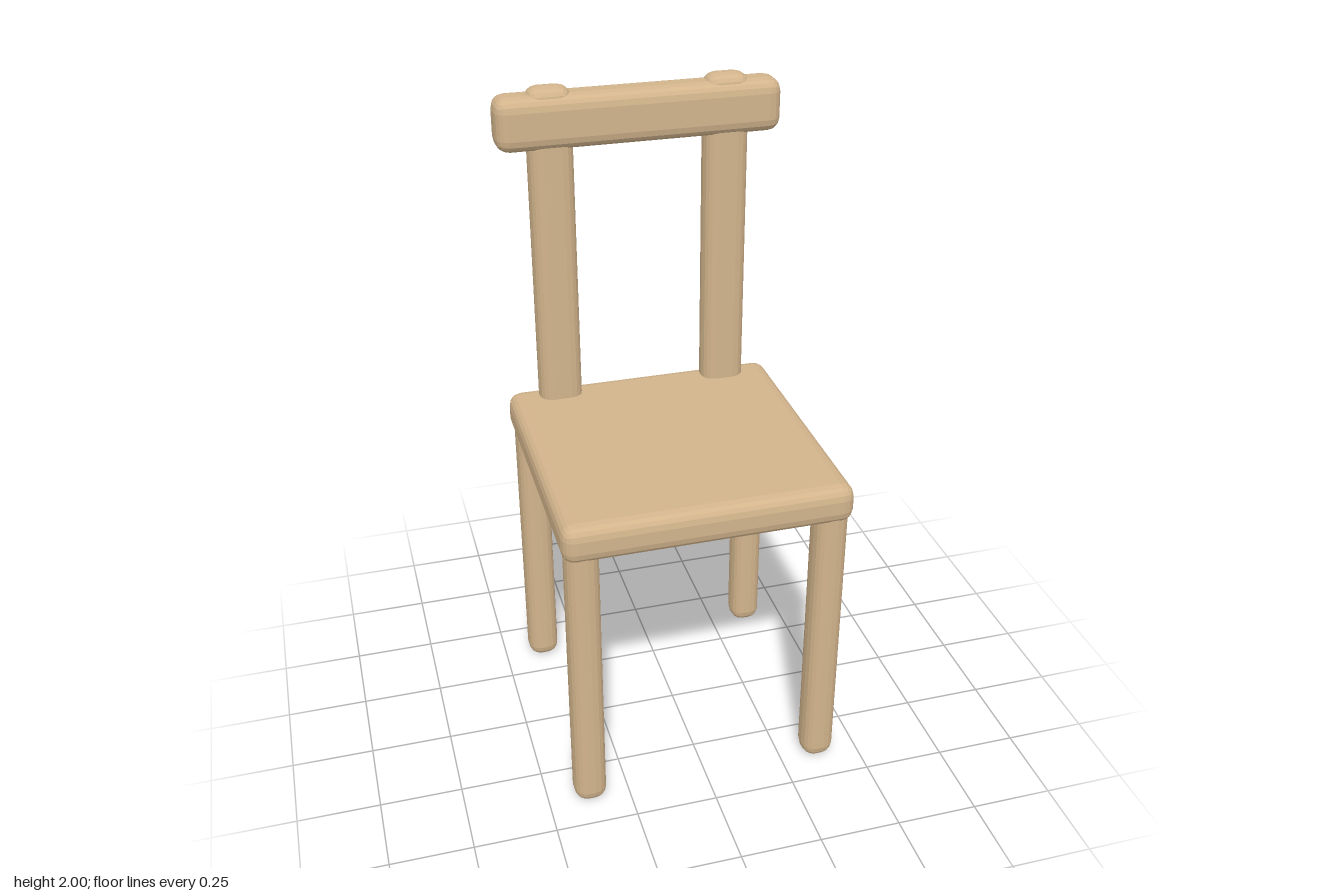
import * as THREE from 'three';
import { RoundedBoxGeometry } from 'three/addons/geometries/RoundedBoxGeometry.js';

export function createModel() {
  const chair = new THREE.Group();
  chair.name = 'chair';

  const wood = new THREE.MeshStandardMaterial({ color: 0xd2b48c });
  wood.name = 'light wood';

  // Faceted soft-edged block, given by its centre and the heights of its ends
  function block(name, width, depth, x, z, bottom, top, radius = 0.04) {
    const geometry = new RoundedBoxGeometry(width, top - bottom, depth, 2, radius);
    geometry.computeVertexNormals(); // unindexed, so this gives flat facets
    const mesh = new THREE.Mesh(geometry, wood);
    mesh.name = name;
    mesh.position.set(x, (bottom + top) / 2, z);
    chair.add(mesh);
  }

  // Seat board and top rail of the back
  block('seat', 0.86, 0.86, 0, 0, 0.89, 1.01);
  block('topRail', 0.86, 0.12, 0, -0.37, 1.82, 1.98);

  for (const [side, s] of [['Left', 1], ['Right', -1]]) {
    // Legs under the corners
    block(`front${side}Leg`, 0.1, 0.1, s * 0.37, 0.37, 0, 0.97);
    block(`back${side}Leg`, 0.1, 0.1, s * 0.37, -0.37, 0, 0.97);
    // Back posts, ending just above the rail
    block(`backPost${side}`, 0.136, 0.096, s * 0.267, -0.372, 0.92, 2);
  }

  return chair;
}
